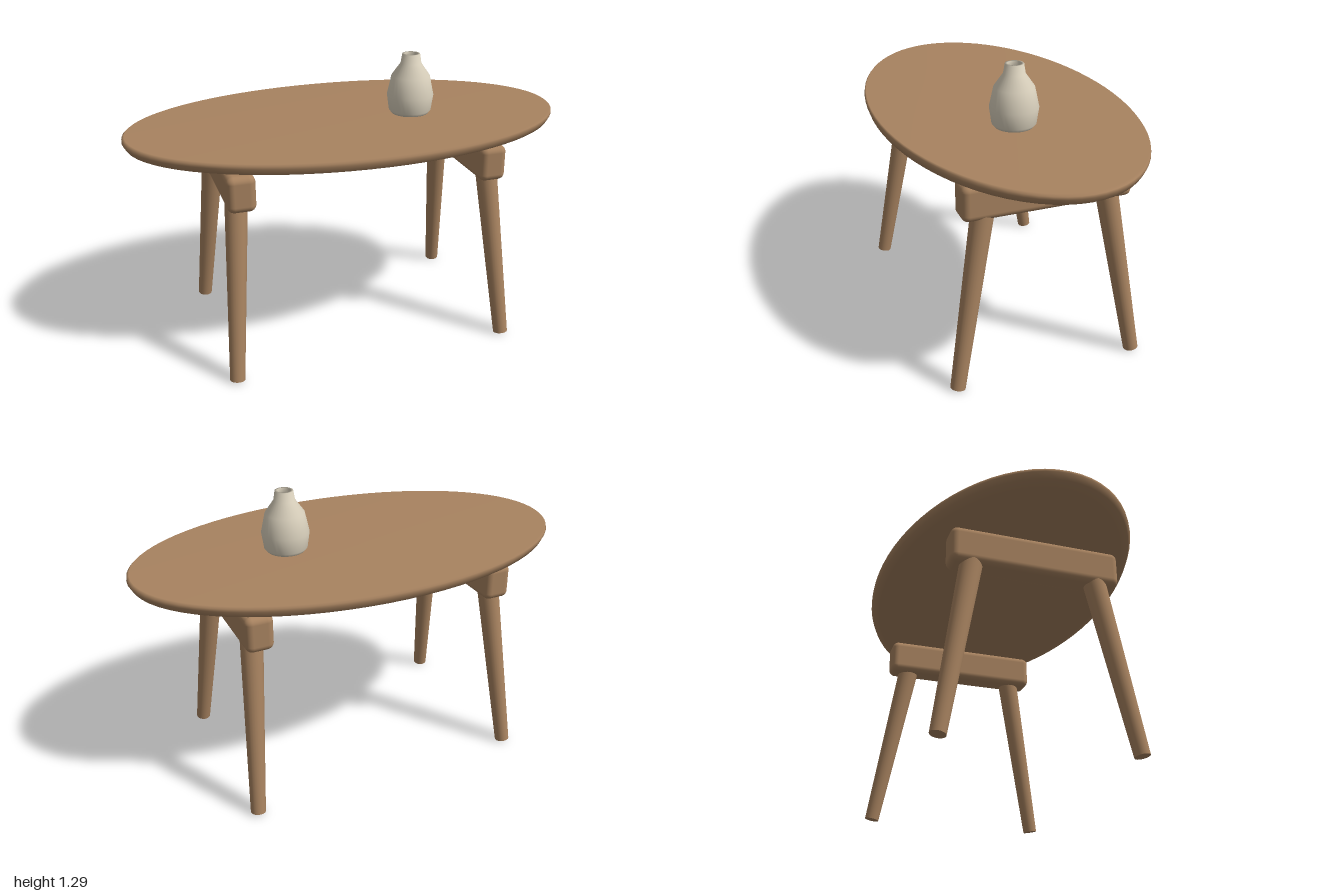
import * as THREE from 'three';
import { RoundedBoxGeometry } from 'three/addons/geometries/RoundedBoxGeometry.js';

const wood = new THREE.MeshStandardMaterial({ color: 0xa88360 });
wood.name = 'wood';
const ceramic = new THREE.MeshStandardMaterial({ color: 0xdad1bd });
ceramic.name = 'ceramic';

function add(parent, name, geometry, material) {
  const mesh = new THREE.Mesh(geometry, material);
  mesh.name = name;
  parent.add(mesh);
  return mesh;
}

const lathe = (points, segments) =>
  new THREE.LatheGeometry(points.map(([r, y]) => new THREE.Vector2(r, y)), segments);

// Tapered leg between two points, splayed outwards
function addLeg(parent, sx, sz) {
  const foot = new THREE.Vector3(sx * 0.637, 0.006, sz * 0.412);
  const top = new THREE.Vector3(sx * 0.573, 0.84, sz * 0.266);
  const axis = top.clone().sub(foot);
  const leg = add(parent, 'leg', new THREE.CylinderGeometry(0.05, 0.033, axis.length(), 24), wood);
  leg.position.copy(foot).add(top).multiplyScalar(0.5);
  leg.quaternion.setFromUnitVectors(new THREE.Vector3(0, 1, 0), axis.normalize());
}

export function createModel() {
  const model = new THREE.Group();
  model.name = 'ovalTableWithVase';

  // Oval top with an undercut, softened rim
  const top = lathe([[0, 0.965], [0.93, 0.965], [0.985, 0.975], [1, 1.0],
    [0.998, 1.012], [0.988, 1.02], [0, 1.02]], 72);
  top.scale(1, 1, 0.56);
  add(model, 'tableTop', top, wood);

  // Two end frames: a rounded cross bar on a pair of legs
  for (const sx of [-1, 1]) {
    const frame = new THREE.Group();
    frame.name = sx > 0 ? 'leftFrame' : 'rightFrame';
    const bar = add(frame, 'crossBar', new RoundedBoxGeometry(0.122, 0.16, 0.744, 4, 0.03), wood);
    bar.position.set(sx * 0.567, 0.85, 0);
    for (const sz of [-1, 1]) addLeg(frame, sx, sz);
    model.add(frame);
  }

  // Hollow vase: outer wall, lip, then inside of the neck
  const vase = add(model, 'vase', lathe([[0, 1.018], [0.082, 1.018], [0.096, 1.035],
    [0.106, 1.105], [0.087, 1.193], [0.047, 1.25], [0.04, 1.293],
    [0.03, 1.293], [0.034, 1.25], [0.07, 1.19], [0.088, 1.1], [0.08, 1.04], [0, 1.035]], 32), ceramic);
  vase.position.set(0.295, 0, 0.03);

  return model;
}
